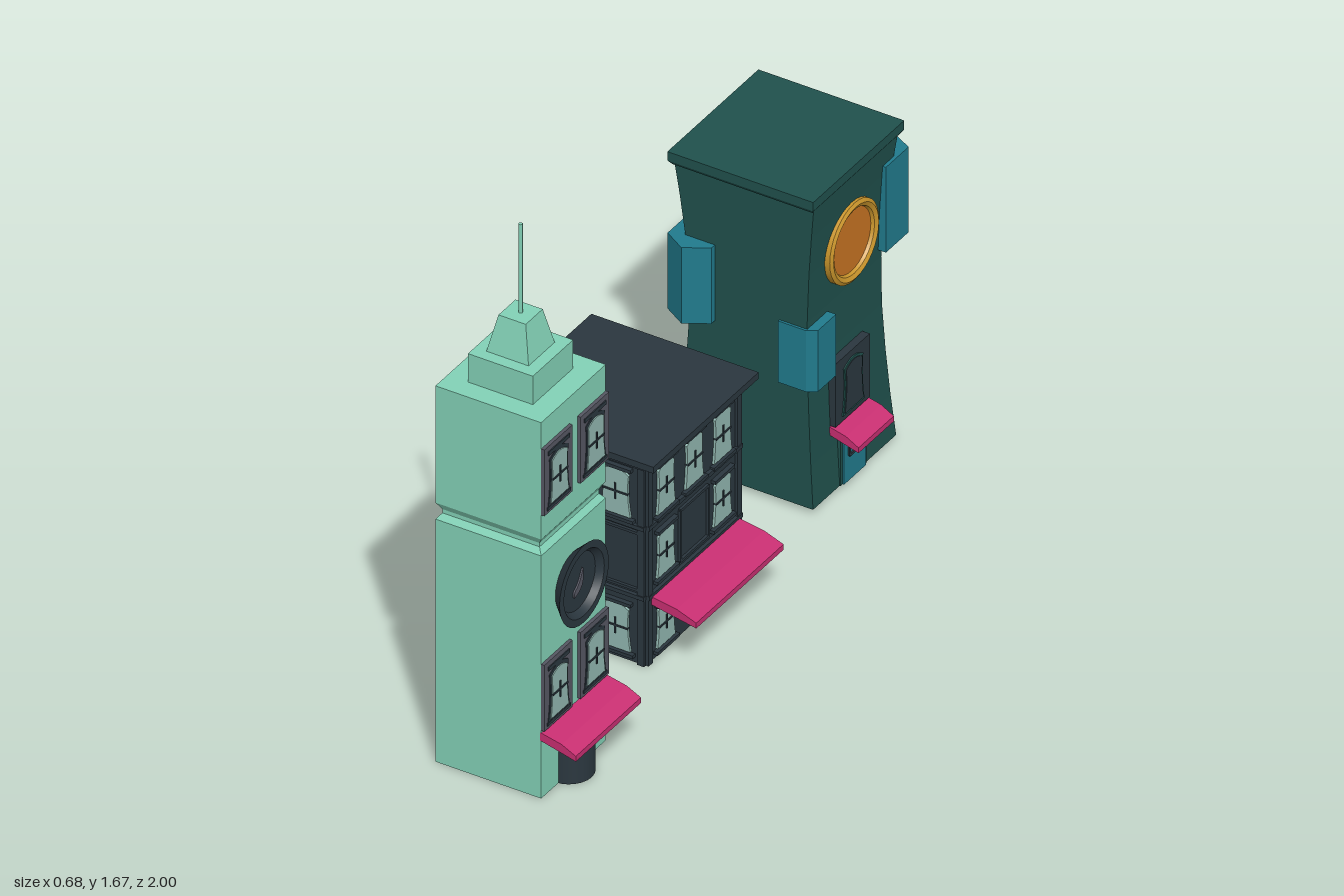
import * as THREE from 'three';
import { toCreasedNormals } from 'three/addons/utils/BufferGeometryUtils.js';

const mat = (name, color) => {
  const m = new THREE.MeshStandardMaterial({ color });
  m.name = name;
  return m;
};

export function createModel() {
  const mint = mat('mint', 0x83d2b7), slate = mat('slate', 0x2b373f), pine = mat('pine', 0x20514d),
    teal = mat('teal', 0x217b8d), pink = mat('pink', 0xc92f72), grey = mat('grey', 0x565763),
    glass = mat('glass', 0x91b7b0), orange = mat('orange', 0xc87423), gold = mat('gold', 0xcb962c);

  const add = (parent, name, geo, material, x = 0, y = 0, z = 0) => {
    const m = new THREE.Mesh(geo, material);
    m.name = name;
    m.position.set(x, y, z);
    parent.add(m);
    return m;
  };
  const group = (parent, name, x = 0, y = 0, z = 0, turn = 0) => {
    const g = new THREE.Group();
    g.name = name;
    g.position.set(x, y, z);
    g.rotation.y = turn;
    parent.add(g);
    return g;
  };
  const box = (parent, name, material, w, h, d, x, y, z) =>
    add(parent, name, new THREE.BoxGeometry(w, h, d), material, x, y, z);

  // Stack of rectangles [y, x0, x1, z0, z1], skinned and capped
  const loft = (rings) => {
    const corners = rings.map(([y, x0, x1, z0, z1]) => [[x0, y, z1], [x1, y, z1], [x1, y, z0], [x0, y, z0]]);
    const pos = [];
    const quad = (a, b, c, d) => [a, b, c, a, c, d].forEach((p) => pos.push(...p));
    for (let r = 0; r < corners.length - 1; r++) {
      const a = corners[r], b = corners[r + 1];
      for (let i = 0; i < 4; i++) quad(a[i], a[(i + 1) % 4], b[(i + 1) % 4], b[i]);
    }
    const lo = corners[0], hi = corners[corners.length - 1];
    quad(lo[3], lo[2], lo[1], lo[0]);
    quad(hi[0], hi[1], hi[2], hi[3]);
    const g = new THREE.BufferGeometry();
    g.setAttribute('position', new THREE.Float32BufferAttribute(pos, 3));
    g.computeVertexNormals();
    return g;
  };
  const extrude = (shape, depth) => new THREE.ExtrudeGeometry(shape, { depth, bevelEnabled: false, curveSegments: 6 });
  const polygon = (pts) => new THREE.Shape(pts.map(([x, y]) => new THREE.Vector2(x, y)));

  // Arched pane with pinched sides, standing on y = 0
  const paneShape = (w, h) => {
    const s = new THREE.Shape();
    s.moveTo(-w / 2, 0);
    s.lineTo(w / 2, 0);
    s.quadraticCurveTo(w * 0.36, h * 0.5, w * 0.44, h * 0.9);
    s.quadraticCurveTo(0, h * 1.1, -w * 0.44, h * 0.9);
    s.quadraticCurveTo(-w * 0.36, h * 0.5, -w / 2, 0);
    return s;
  };
  const windowAt = (face, x, y, w, h, z = 0) => {
    const g = group(face, 'window', x, y, z);
    add(g, 'pane', extrude(paneShape(w, h), 0.007), glass);
    box(g, 'crossbar', slate, w * 0.85, 0.005, 0.012, 0, h * 0.5, 0.004);
    box(g, 'mullion', slate, 0.005, h * 0.35, 0.012, 0, h * 0.5, 0.004);
    return g;
  };
  // Sloping awning from a wall at x, spanning z0..z1
  const awning = (parent, x, top, reach, z0, z1) => add(parent, 'awning', extrude(polygon([
    [0, top - 0.025], [reach, top - 0.053], [reach, top - 0.036], [reach * 0.6, top - 0.014], [0, top],
  ]), z1 - z0), pink, x, 0, z0);
  const lathe = (pts) => toCreasedNormals(
    new THREE.LatheGeometry(pts.map(([r, h]) => new THREE.Vector2(r, h)), 32), 0.5).rotateX(Math.PI / 2);

  const model = new THREE.Group();
  model.name = 'streetBuildings';
  const RIGHT = Math.PI / 2; // turns a facade to face +x

  // ---- Clock tower ----
  const tower = group(model, 'clockTower');
  const tx = 0.065, tz = 0.84;
  const ring = (y, hx, hz = hx) => [y, tx - hx, tx + hx, tz - hz, tz + hz];
  add(tower, 'towerBody', loft([
    ring(0, 0.163, 0.16), ring(0.768, 0.163, 0.16), ring(0.785, 0.15, 0.147), ring(0.797, 0.15, 0.147),
    ring(0.82, 0.163, 0.16), ring(1.19, 0.163, 0.16), ring(1.19, 0.1), ring(1.28, 0.1),
    ring(1.28, 0.065), ring(1.39, 0.042),
  ]), mint);
  add(tower, 'spire', new THREE.CylinderGeometry(0.006, 0.006, 0.28, 8), mint, tx, 1.53, tz);
  const towerFace = group(tower, 'towerFacade', 0.228, 0, tz, RIGHT);
  for (const y of [0.215, 0.897]) {
    for (const x of [-0.09, 0.09]) {
      box(towerFace, 'windowFrame', grey, 0.14, 0.21, 0.01, x, y + 0.105, 0.005);
      box(towerFace, 'frameHood', slate, 0.105, 0.012, 0.014, x, y + 0.188, 0.006);
      box(towerFace, 'frameSill', slate, 0.115, 0.01, 0.014, x, y + 0.015, 0.006);
      add(towerFace, 'frameSurround', extrude(paneShape(0.106, 0.162), 0.004), slate, x, y + 0.02, 0.008);
      windowAt(towerFace, x, y + 0.027, 0.088, 0.145, 0.008);
    }
  }
  const clock = group(towerFace, 'clock', 0, 0.6, 0);
  add(clock, 'clockDish', lathe([[0.09, 0], [0.122, 0.033], [0.1, 0.033], [0.086, 0.014], [0, 0.014]]), slate);
  const hand = new THREE.Shape();
  hand.moveTo(0.018, 0.035);
  hand.quadraticCurveTo(0.03, -0.03, -0.024, -0.038);
  hand.quadraticCurveTo(-0.03, -0.02, -0.012, -0.012);
  hand.quadraticCurveTo(0.004, 0, 0.018, 0.035);
  add(clock, 'clockHand', extrude(hand, 0.005), grey, 0, 0, 0.014);
  add(tower, 'roundPorch', new THREE.CylinderGeometry(0.07, 0.07, 0.156, 24), slate, 0.218, 0.078, 0.846);
  awning(tower, 0.225, 0.208, 0.11, 0.677, 1);

  // ---- Slate shop ----
  const shop = group(model, 'slateShop', -0.083, 0, 0.098);
  const half = 0.217;
  box(shop, 'shopBody', slate, half * 2, 0.64, 0.464, 0, 0.32, 0);
  box(shop, 'shopRoof', slate, 0.516, 0.02, 0.522, 0, 0.65, 0);
  // Mouldings on one side: ledges, corner strips and framed panels
  const ledges = (face, width) => {
    for (const y of [0.215, 0.435, 0.628]) box(face, 'ledge', slate, width, 0.012, 0.016, 0, y, 0.003);
    for (const s of [-1, 1]) box(face, 'cornerStrip', slate, 0.022, 0.63, 0.012, s * (width / 2 - 0.012), 0.315, 0.002);
  };
  const panel = (face, x, y, w, h) => {
    for (const s of [-1, 1]) {
      box(face, 'panelRail', slate, w, 0.008, 0.01, x, y + s * h / 2, 0.003);
      box(face, 'panelStile', slate, 0.008, h, 0.01, x + s * w / 2, y, 0.003);
    }
  };
  const trimmedWindow = (face, x, y, w, h) => {
    windowAt(face, x, y, w, h);
    box(face, 'windowSill', slate, w * 1.25, 0.01, 0.018, x, y - 0.008, 0.005);
    box(face, 'windowHood', slate, w * 1.1, 0.01, 0.018, x, y + h + 0.006, 0.005);
  };
  const shopFace = group(shop, 'shopFacade', half, 0, 0, RIGHT);
  ledges(shopFace, 0.464);
  for (const x of [-0.14, 0, 0.14]) trimmedWindow(shopFace, x, 0.45, 0.088, 0.15);
  for (const x of [-0.14, 0.14]) trimmedWindow(shopFace, x, 0.25, 0.088, 0.14);
  panel(shopFace, 0, 0.32, 0.14, 0.16);
  trimmedWindow(shopFace, -0.14, 0.028, 0.088, 0.13);
  box(shopFace, 'shopDoor', grey, 0.125, 0.16, 0.009, 0.11, 0.08, 0.004);
  add(shopFace, 'doorKnob', new THREE.SphereGeometry(0.005, 8, 6), slate, 0.155, 0.075, 0.011);
  for (const [turn, z] of [[0, 0.232], [Math.PI, -0.232]]) {
    const side = group(shop, 'shopSide', 0, 0, z, turn);
    ledges(side, half * 2);
    for (const x of [-0.127, 0.127]) {
      trimmedWindow(side, x, 0.455, 0.092, 0.145);
      if (turn === 0) trimmedWindow(side, x, 0.03, 0.092, 0.145);
      else panel(side, x, 0.11, 0.14, 0.15);
      panel(side, x, 0.325, 0.15, 0.18);
    }
  }
  awning(model, 0.13, 0.215, 0.15, -0.118, 0.315);

  // ---- Pine house with pinched walls ----
  const house = group(model, 'pineHouse');
  const profile = [[0.015, 0.005], [0.15, 0.022], [0.3, 0.037], [0.45, 0.048], [0.6, 0.05], [0.75, 0.037], [0.87, 0.018], [0.965, 0]];
  add(house, 'houseBody', loft(profile.map(([y, p]) =>
    [y, -0.295 + p * 0.9, 0.135 - p * 0.4, -0.917 + p, -0.5])), pine);
  add(house, 'houseRoof', loft([
    [0.96, -0.297, 0.135, -0.926, -0.493], [0.972, -0.307, 0.143, -0.936, -0.485], [1, -0.307, 0.143, -0.936, -0.485],
  ]), pine);
  // Faceted bays: plan outline in [x, z], raised between two heights
  const bay = (y0, y1, plan) => add(house, 'bay',
    extrude(polygon(plan.map(([x, z]) => [x, -z])), y1 - y0).rotateX(-Math.PI / 2), teal, 0, y0, 0);
  bay(0.63, 0.9, [[0, -0.85], [0.14, -0.85], [0.14, -0.962], [0.07, -1], [0, -0.962]]);
  bay(0.505, 0.745, [[-0.305, -0.56], [-0.305, -0.483], [-0.238, -0.443], [-0.17, -0.483], [-0.17, -0.56]]);
  bay(0.386, 0.58, [[0.03, -0.6], [0.03, -0.493], [0.115, -0.493], [0.142, -0.51], [0.142, -0.6]]);
  bay(0.16, 0.434, [[-0.19, -0.935], [-0.19, -0.81], [-0.3, -0.81], [-0.314, -0.86], [-0.29, -0.935]]);
  const houseFace = group(house, 'houseFacade', 0.118, 0, -0.69, RIGHT);
  add(houseFace, 'roundWindowRing', lathe([[0.122, -0.01], [0.122, 0.018], [0.112, 0.024], [0.1, 0.018], [0.094, 0.004]]), gold, 0.01, 0.75, 0);
  add(houseFace, 'roundWindowPane', lathe([[0.1, -0.01], [0.1, 0.009], [0, 0.009]]), orange, 0.01, 0.75, 0);
  box(houseFace, 'darkWindowFrame', slate, 0.17, 0.2, 0.03, -0.005, 0.32, 0.007);
  add(houseFace, 'darkPaneBorder', extrude(paneShape(0.106, 0.162), 0.005), pine, -0.005, 0.237, 0.021);
  add(houseFace, 'darkPane', extrude(paneShape(0.092, 0.148), 0.006), slate, -0.005, 0.244, 0.022);
  box(houseFace, 'doorFrame', pine, 0.13, 0.165, 0.025, 0.007, 0.0975, 0.005);
  box(houseFace, 'houseDoor', teal, 0.108, 0.152, 0.026, 0.007, 0.091, 0.009);
  panel(group(houseFace, 'doorPanel', 0, 0, 0.018), 0.007, 0.12, 0.06, 0.05);
  add(houseFace, 'doorKnob', new THREE.SphereGeometry(0.005, 8, 6), gold, 0.047, 0.085, 0.024);
  awning(house, 0.115, 0.22, 0.098, -0.772, -0.597);

  return model;
}
